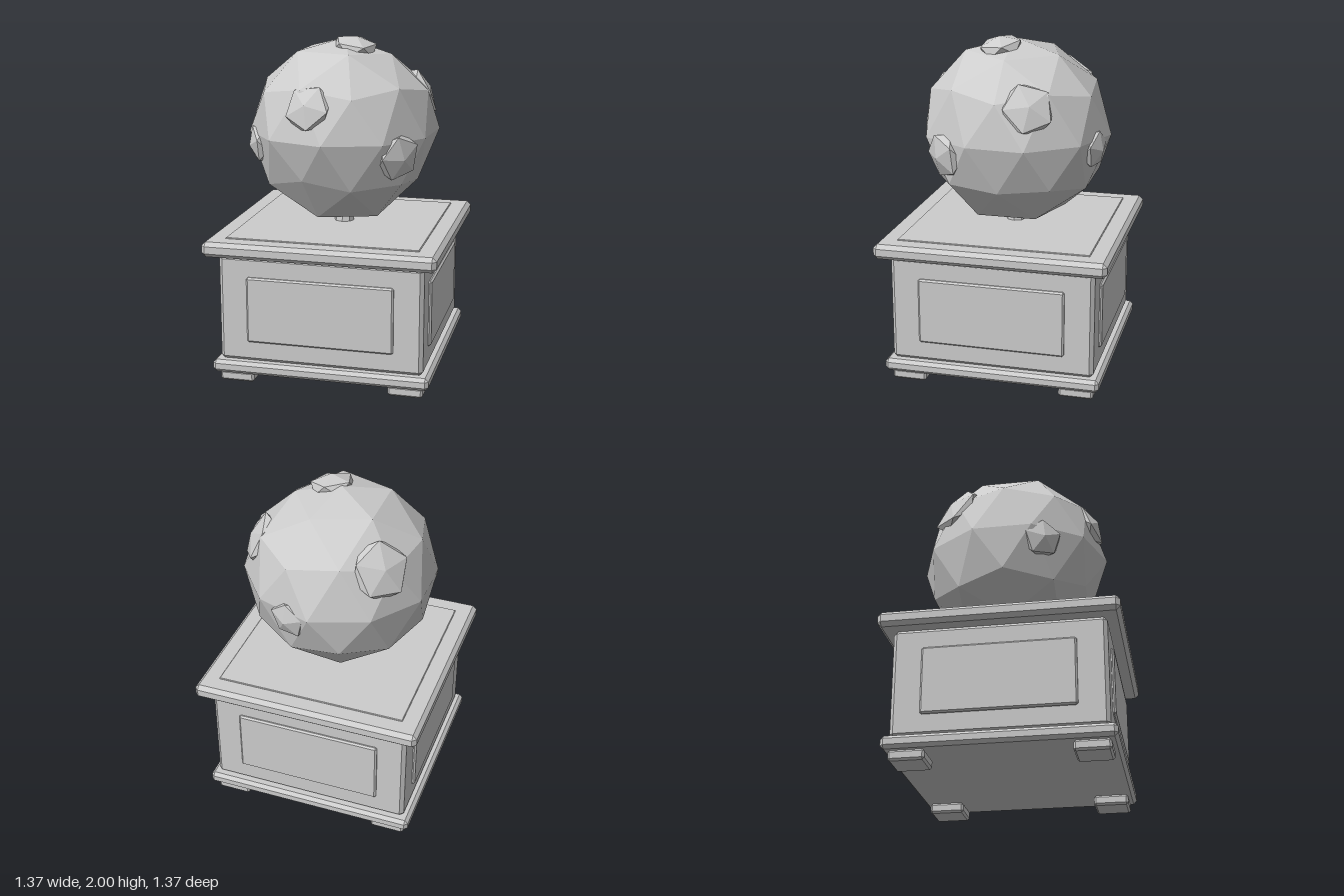
import * as THREE from 'three';
import { ConvexGeometry } from 'three/addons/geometries/ConvexGeometry.js';

const CENTRE_Y = 1.43; // middle of the boulder
const RADIUS = 0.567;

// Box with every edge cut flat at 45 degrees
function chamferBox(w, h, d, c) {
  const points = [];
  for (const sx of [-1, 1]) for (const sy of [-1, 1]) for (const sz of [-1, 1]) {
    for (let axis = 0; axis < 3; axis++) {
      const cut = [0, 1, 2].map((i) => (i === axis ? 0 : c));
      points.push(new THREE.Vector3(
        sx * (w / 2 - cut[0]), sy * (h / 2 - cut[1]), sz * (d / 2 - cut[2])));
    }
  }
  return new ConvexGeometry(points);
}

// Faceted ball with one corner pointing straight up
function facetedBall(detail) {
  return new THREE.IcosahedronGeometry(1, detail).rotateZ(-Math.atan(2 / (1 + Math.sqrt(5))));
}

// Direction from a compass angle (degrees, +x towards +z) and a height
function direction(degrees, y) {
  const a = THREE.MathUtils.degToRad(degrees);
  const r = Math.sqrt(1 - y * y);
  return new THREE.Vector3(r * Math.cos(a), y, r * Math.sin(a));
}

// Uneven boulder: a few corners are pushed in or out
function boulderGeometry() {
  const nudges = [
    [0, 1, 0.97], [0, -1, 0.93], [0, 0.851, 0.96], [108, -0.447, 0.92],
    [72, -0.526, 0.95], [0, -0.526, 0.94], [180, -0.851, 0.97], [288, 0.851, 0.98],
    [270, 0, 1.02], [342, 0, 1.02], [18, 0, 0.97],
  ].map(([a, y, f]) => ({ dir: direction(a, y), f }));
  const geometry = facetedBall(1);
  const pos = geometry.attributes.position;
  const v = new THREE.Vector3();
  for (let i = 0; i < pos.count; i++) {
    v.fromBufferAttribute(pos, i);
    const nudge = nudges.find((n) => n.dir.distanceTo(v) < 0.1);
    v.multiplyScalar(RADIUS * (nudge ? nudge.f : 1));
    pos.setXYZ(i, v.x, v.y, v.z);
  }
  geometry.computeVertexNormals();
  return geometry;
}

export function createModel() {
  const group = new THREE.Group();
  const stone = new THREE.MeshStandardMaterial({ color: 0xcccccc });
  stone.name = 'grey stone';

  function add(name, geometry, x, y, z, parent = group) {
    const mesh = new THREE.Mesh(geometry, stone);
    mesh.name = name;
    mesh.position.set(x, y, z);
    parent.add(mesh);
    return mesh;
  }

  // Feet
  const foot = chamferBox(0.205, 0.06, 0.205, 0.012);
  for (const sx of [-1, 1]) for (const sz of [-1, 1]) {
    add('foot', foot, sx * 0.505, 0.03, sz * 0.505);
  }

  // Pedestal
  add('plinth', chamferBox(1.29, 0.075, 1.29, 0.02), 0, 0.0975, 0);
  add('pedestalBody', chamferBox(1.21, 0.64, 1.21, 0.022), 0, 0.452, 0);
  add('topSlab', chamferBox(1.37, 0.09, 1.37, 0.024), 0, 0.818, 0);
  add('topInset', chamferBox(1.14, 0.02, 1.14, 0.004), 0, 0.859, 0);

  // Raised panel on each side
  const panel = chamferBox(0.87, 0.395, 0.04, 0.01);
  for (let i = 0; i < 4; i++) {
    const a = (i * Math.PI) / 2;
    const mesh = add('sidePanel', panel, Math.sin(a) * 0.602, 0.453, Math.cos(a) * 0.602);
    mesh.rotation.y = a;
  }

  // Short support under the boulder
  const stem = new THREE.CylinderGeometry(0.05, 0.063, 0.08, 8).toNonIndexed();
  stem.computeVertexNormals();
  add('stem', stem, 0, 0.895, 0);

  // Boulder with half-buried flattened rocks
  const boulder = new THREE.Group();
  boulder.name = 'boulder';
  boulder.position.y = CENTRE_Y;
  group.add(boulder);
  add('boulderCore', boulderGeometry(), 0, 0, 0, boulder);

  // Direction x, y, z, then rock radius and turn
  const rocks = [
    [0.08, 0.5, 0.07, 0.14, 0.3],
    [-0.1, 0.21, 0.5, 0.15, 0.9],
    [0.41, -0.09, 0.34, 0.15, 0.2],
    [-0.49, -0.07, 0.24, 0.125, 0.5],
    [0.47, 0.24, -0.19, 0.165, 0.1],
    [0.14, -0.06, -0.52, 0.125, 0.7],
    [-0.35, 0.26, -0.32, 0.185, 0.4],
  ];
  const up = new THREE.Vector3(0, 1, 0);
  for (const [x, y, z, r, turn] of rocks) {
    const dir = new THREE.Vector3(x, y, z).normalize();
    const geometry = facetedBall(0).rotateY(turn).scale(r, 0.066, r);
    geometry.computeVertexNormals();
    const p = dir.clone().multiplyScalar(0.517);
    add('rock', geometry, p.x, p.y, p.z, boulder).quaternion.setFromUnitVectors(up, dir);
  }
  return group;
}
